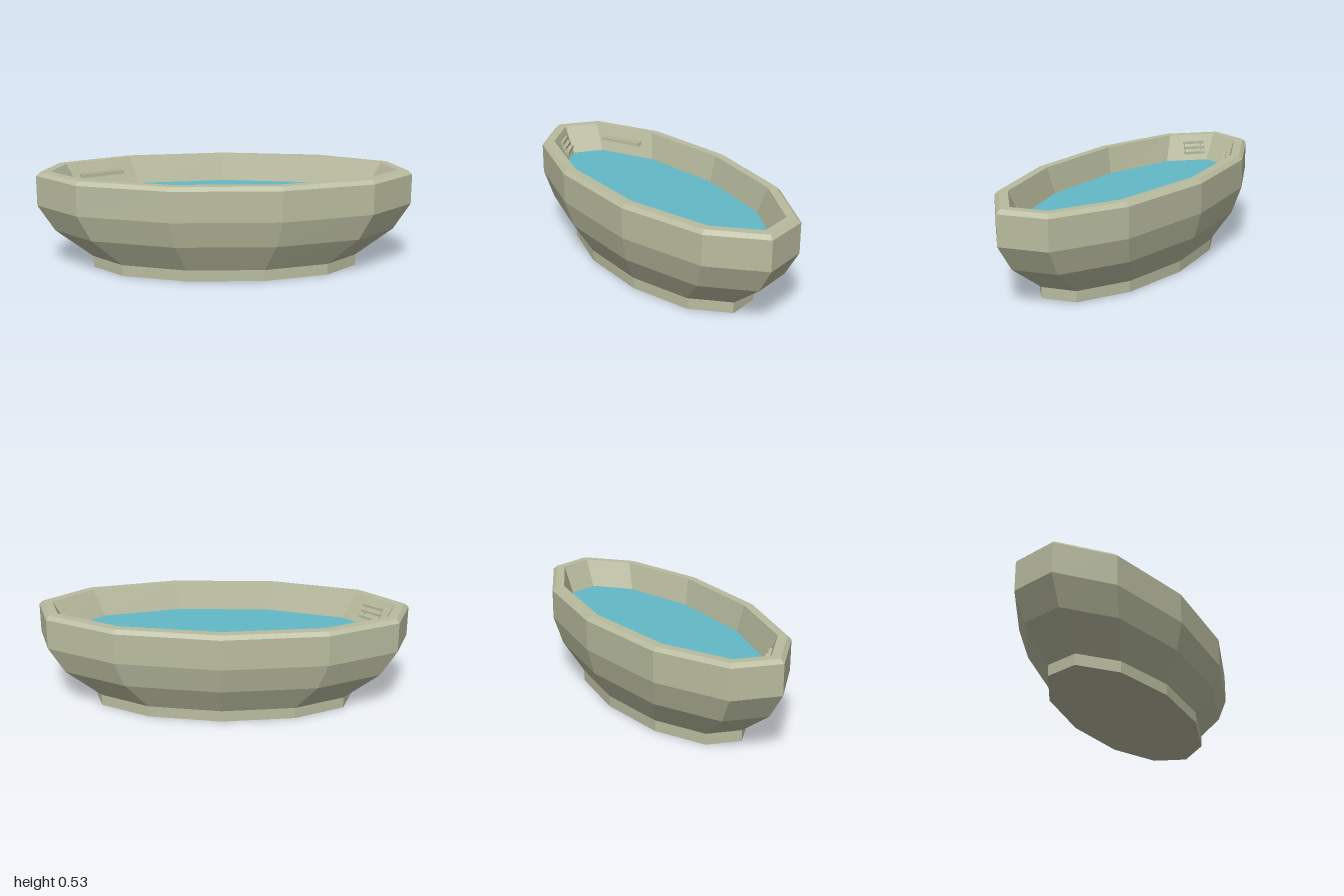
import * as THREE from 'three';

const SIDES = 11;
const CENTER_Z = 0.009;

// Eleven-sided oval, moved inwards by a constant wall thickness
function oval(rx, rz, inset = 0) {
  const p = [];
  for (let k = 0; k < SIDES; k++) {
    const a = (k / SIDES) * Math.PI * 2;
    p.push(new THREE.Vector2(Math.sin(a) * rx, CENTER_Z - Math.cos(a) * rz));
  }
  if (!inset) return p;
  const normal = (i) => {
    const d = p[(i + 1) % SIDES].clone().sub(p[i % SIDES]).normalize();
    return new THREE.Vector2(-d.y, d.x);
  };
  return p.map((v, i) => {
    const n1 = normal(i + SIDES - 1), n2 = normal(i);
    const m = n1.clone().add(n2);
    return v.clone().addScaledVector(m, inset / (1 + n1.dot(n2)));
  });
}

// Joins rings of points from bottom to top, faces pointing outwards
function loft(rings) {
  const pos = [];
  const put = (r, i) => pos.push(r.pts[i % SIDES].x, r.y, r.pts[i % SIDES].y);
  for (let j = 0; j < rings.length - 1; j++) {
    const lo = rings[j], hi = rings[j + 1];
    for (let i = 0; i < SIDES; i++) {
      if (!lo.tip) { put(lo, i + 1); put(lo, i); put(hi, i); }
      if (!hi.tip) { put(lo, i + 1); put(hi, i); put(hi, i + 1); }
    }
  }
  const g = new THREE.BufferGeometry();
  g.setAttribute('position', new THREE.Float32BufferAttribute(pos, 3));
  g.computeVertexNormals();
  return g;
}

const ring = (y, rx, rz, inset) => ({ y, pts: oval(rx, rz, inset) });
const tip = (y) => ({ y, pts: oval(0, 0), tip: true });

export function createModel() {
  const model = new THREE.Group();
  const stone = new THREE.MeshStandardMaterial({ color: 0xb9bc9f, flatShading: true });
  const blue = new THREE.MeshStandardMaterial({ color: 0x62b8c6, flatShading: true });

  const add = (name, geometry, material, parent = model) => {
    const mesh = new THREE.Mesh(geometry, material);
    mesh.name = name;
    parent.add(mesh);
    return mesh;
  };

  // Foot
  add('foot', loft([tip(0), ring(0, 0.72, 0.318), ring(0.06, 0.72, 0.318)]), stone);

  // Bowl: flared outside, bevelled rim, sloping inside wall
  add('bowl', loft([
    ring(0.06, 0.72, 0.318),
    ring(0.21, 0.92, 0.405),
    ring(0.35, 1.01, 0.443),
    ring(0.512, 1.01, 0.443),
    ring(0.532, 1.01, 0.443, 0.02),
    ring(0.532, 1.01, 0.443, 0.066),
    ring(0.385, 0.92, 0.405, 0.062),
  ]), stone);

  // Water surface
  add('water', loft([ring(0.388, 0.92, 0.405, 0.06), tip(0.388)]), blue);

  // Slatted grille lying along the long back wall
  const grille = new THREE.Group();
  grille.name = 'grille';
  grille.position.set(-0.675, 0.465, -0.186);
  grille.rotation.y = 0.46;
  for (const z of [-0.014, 0.014]) {
    add('grilleRail', new THREE.BoxGeometry(0.25, 0.02, 0.012), stone, grille).position.z = z;
  }
  for (let i = 0; i < 4; i++) {
    const bar = add('grilleBar', new THREE.BoxGeometry(0.05, 0.012, 0.03), stone, grille);
    bar.position.x = -0.093 + i * 0.062;
  }
  model.add(grille);

  // Small steps leaning on the wall at the right end
  const steps = new THREE.Group();
  steps.name = 'steps';
  steps.position.set(-0.808, 0.46, 0.118);
  steps.rotation.y = -0.74;
  for (let i = 0; i < 3; i++) {
    const step = add('step', new THREE.BoxGeometry(0.125, 0.014, 0.025), stone, steps);
    step.position.set(0, (i - 1) * 0.028, (i - 1) * 0.016);
  }
  for (const x of [-0.05, 0.05]) {
    const rail = add('stepRail', new THREE.BoxGeometry(0.014, 0.08, 0.012), stone, steps);
    rail.position.x = x;
    rail.rotation.x = 0.52;
  }
  model.add(steps);

  return model;
}
